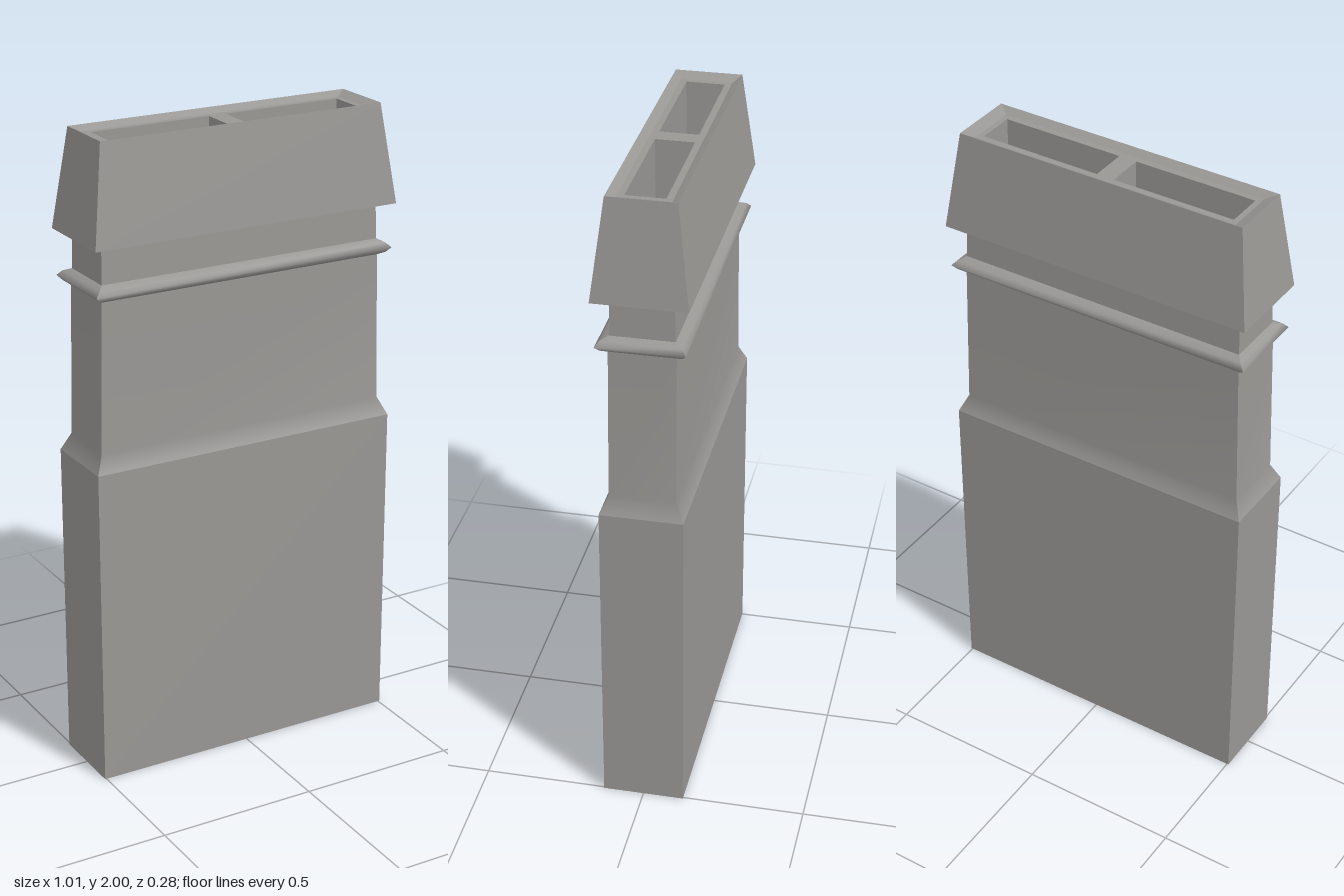
import * as THREE from 'three';

const stone = new THREE.MeshStandardMaterial({ color: 0x999794, side: THREE.DoubleSide });
stone.name = 'stone grey';
const soot = new THREE.MeshStandardMaterial({ color: 0x454442, side: THREE.DoubleSide });
soot.name = 'soot grey';

// Rectangular loft through rings [y, halfX, halfZ]: hard vertical corners, smooth along the height.
function rectLoft(name, rings) {
  const corners = [[-1, 1], [1, 1], [1, -1], [-1, -1]];
  const pos = [], index = [];
  for (let s = 0; s < 4; s++) {
    const base = pos.length / 3, a = corners[s], b = corners[(s + 1) % 4];
    for (const [y, hx, hz] of rings) {
      pos.push(a[0] * hx, y, a[1] * hz, b[0] * hx, y, b[1] * hz);
    }
    for (let i = 0; i < rings.length - 1; i++) {
      const k = base + i * 2;
      index.push(k, k + 1, k + 3, k, k + 3, k + 2);
    }
  }
  const geo = new THREE.BufferGeometry();
  geo.setAttribute('position', new THREE.Float32BufferAttribute(pos, 3));
  geo.setIndex(index);
  geo.computeVertexNormals();
  const mesh = new THREE.Mesh(geo, stone);
  mesh.name = name;
  return mesh;
}

function rectPath(path, x0, x1, z) {
  path.moveTo(x0, -z);
  path.lineTo(x1, -z);
  path.lineTo(x1, z);
  path.lineTo(x0, z);
  path.closePath();
  return path;
}

export function createModel() {
  const group = new THREE.Group();
  group.name = 'chimney';

  // Open-bottomed stack with a stepped shoulder
  group.add(rectLoft('base', [[0, 0.505, 0.125], [1.01, 0.505, 0.125]]));
  group.add(rectLoft('shaft', [[1.01, 0.505, 0.125], [1.065, 0.48, 0.1], [1.535, 0.468, 0.098]]));
  group.add(rectLoft('collar', [[1.53, 0.468, 0.098], [1.54, 0.485, 0.118],
    [1.555, 0.5, 0.13], [1.57, 0.485, 0.118], [1.58, 0.466, 0.095]]));
  group.add(rectLoft('neck', [[1.57, 0.466, 0.095], [1.7, 0.463, 0.092]]));

  // Tapered cap with an underside and a slightly sunken rim
  group.add(rectLoft('capUnderside', [[1.69, 0.463, 0.092], [1.695, 0.505, 0.14]]));
  group.add(rectLoft('cap', [[1.695, 0.505, 0.14], [2, 0.465, 0.102]]));
  group.add(rectLoft('rim', [[2, 0.465, 0.102], [1.985, 0.43, 0.078]]));

  // Top plate with two flue openings
  const inner = 0.028, outer = 0.413, hz = 0.058, topY = 1.985, floorY = 1.7;
  const shape = rectPath(new THREE.Shape(), -0.43, 0.43, 0.078);
  for (const s of [-1, 1]) {
    shape.holes.push(rectPath(new THREE.Path(), Math.min(s * inner, s * outer), Math.max(s * inner, s * outer), hz));
  }
  const plate = new THREE.Mesh(new THREE.ShapeGeometry(shape).rotateX(-Math.PI / 2), stone);
  plate.name = 'topPlate';
  plate.position.y = topY;
  group.add(plate);

  // Flue walls and dark floors
  for (const s of [-1, 1]) {
    const hx = (outer - inner) / 2, cx = s * (outer + inner) / 2;
    const walls = rectLoft('flueWalls', [[topY, hx, hz], [floorY, hx, hz]]);
    walls.position.x = cx;
    const floor = new THREE.Mesh(new THREE.PlaneGeometry(hx * 2, hz * 2).rotateX(-Math.PI / 2), soot);
    floor.name = 'flueFloor';
    floor.position.set(cx, floorY, 0);
    group.add(walls, floor);
  }
  return group;
}
